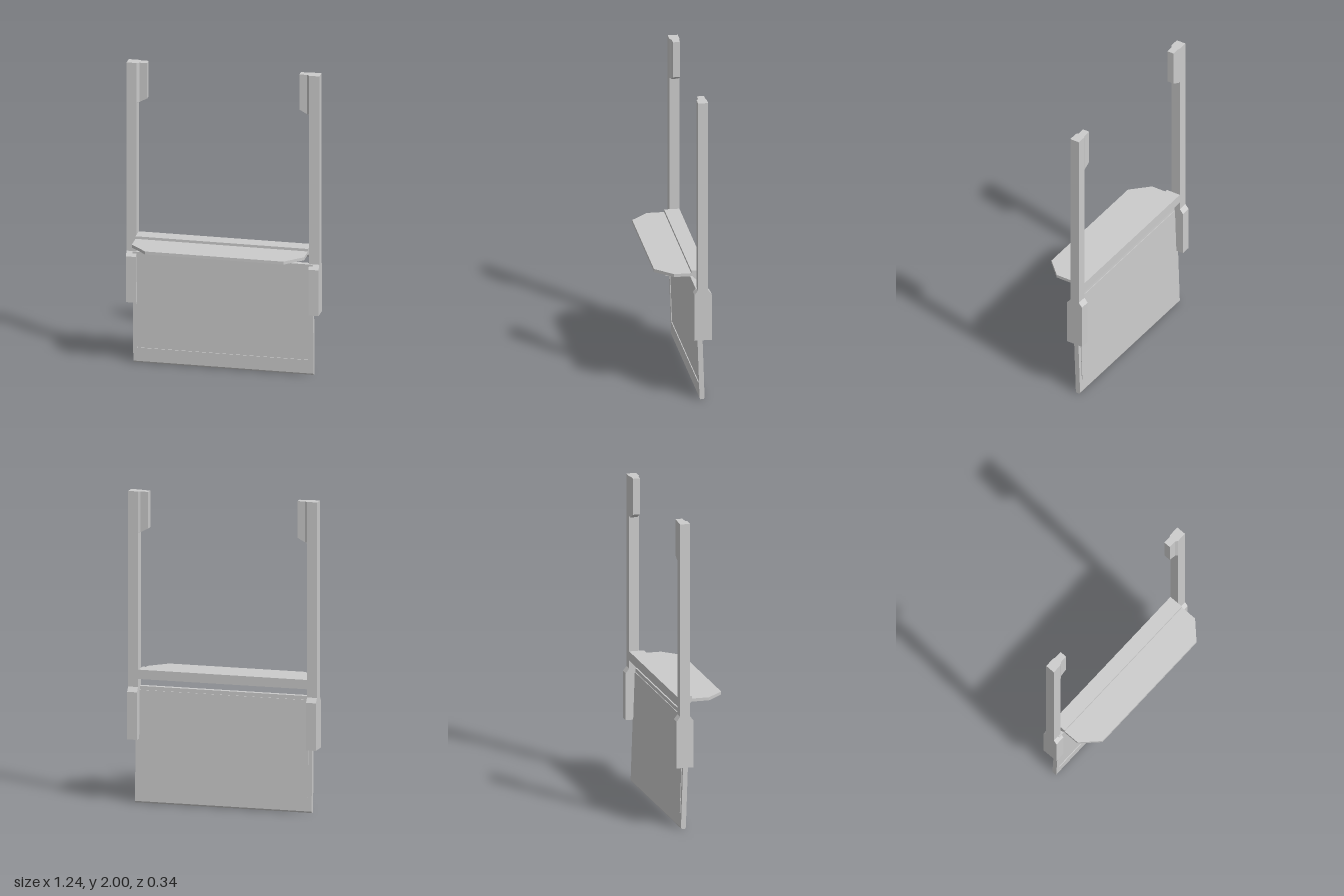
import * as THREE from 'three';

const material = new THREE.MeshStandardMaterial({ color: 0xcccccc, flatShading: true });

// Flat polygon with optional holes, extruded without bevel
function extrude(points, depth, holes = []) {
  const toVec = ([a, b]) => new THREE.Vector2(a, b);
  const shape = new THREE.Shape(points.map(toVec));
  holes.forEach((h) => shape.holes.push(new THREE.Path(h.map(toVec))));
  return new THREE.ExtrudeGeometry(shape, { depth, bevelEnabled: false });
}

// Side profile given as [z, y], extruded from x0 to x1
function alongX(profile, x0, x1) {
  return extrude(profile.map(([z, y]) => [-z, y]), x1 - x0)
    .rotateY(Math.PI / 2).translate(x0, 0, 0);
}

// Plan given as [x, z], extruded from y0 to y1
function alongY(plan, y0, y1) {
  return extrude(plan.map(([x, z]) => [x, -z]), y1 - y0)
    .rotateX(-Math.PI / 2).translate(0, y0, 0);
}

// Front outline given as [x, y], extruded from z0 to z1
function alongZ(outline, z0, z1, holes) {
  return extrude(outline, z1 - z0, holes).translate(0, 0, z0);
}

// Lean the lower board: its top comes forward
function lean(geometry) {
  const p = geometry.attributes.position;
  for (let i = 0; i < p.count; i++) p.setZ(i, p.getZ(i) - 0.115 + 0.034 * p.getY(i));
  geometry.computeVertexNormals();
  return geometry;
}

const rect = (w, y0, y1) => [[-w, y0], [w, y0], [w, y1], [-w, y1]];

export function createModel() {
  const model = new THREE.Group();
  const add = (name, geometry) => {
    const mesh = new THREE.Mesh(geometry, material);
    mesh.name = name;
    model.add(mesh);
  };

  // Upright posts with thicker sleeves at the foot
  const postProfile = [
    [-0.06, 0.41], [-0.17, 0.41], [-0.17, 0.715], [-0.147, 0.745],
    [-0.147, 2], [-0.083, 2], [-0.083, 0.745], [-0.06, 0.715],
  ];
  for (const s of [-1, 1]) {
    const side = s > 0 ? 'left' : 'right';
    add(side + 'Post', alongX(postProfile, s > 0 ? 0.555 : -0.62, s > 0 ? 0.62 : -0.555));

    // Inward tab at the top, with its tapered root
    const tab = [[0.555, 1.73], [0.555, 2], [0.49, 2], [0.49, 1.765]];
    add(side + 'Tab', alongZ(tab.map(([x, y]) => [s * x, y]), -0.141, -0.095));
    const root = [[0.555, -0.147], [0.555, -0.083], [0.54, -0.095], [0.54, -0.141]];
    add(side + 'TabRoot', alongY(root.map(([x, z]) => [s * x, z]), 1.738, 2));
  }

  // Cross bar with a chamfered lower front edge
  add('crossBar', alongX([
    [-0.05, 0.857], [-0.05, 0.825], [-0.08, 0.797], [-0.147, 0.797], [-0.147, 0.857],
  ], -0.555, 0.555));

  // Shelf with cut front corners
  add('shelf', alongY([
    [-0.555, -0.055], [-0.555, 0.06], [-0.445, 0.17],
    [0.445, 0.17], [0.555, 0.06], [0.555, -0.055],
  ], 0.82, 0.84));

  // Leaning board: rim, inset panel and a thin bevelled bottom edge
  add('boardRim', lean(alongZ(rect(0.58, 0.01, 0.745), -0.016, 0.016, [rect(0.555, 0.1, 0.72)])));
  add('boardPanel', lean(alongZ(rect(0.555, 0.1, 0.72), -0.02, 0.011)));
  const edge = [[-0.016, 0.01], [-0.01, 0], [0.01, 0], [0.016, 0.01]];
  add('boardBottomEdge', lean(alongX(edge, -0.58, 0.58)));

  return model;
}
